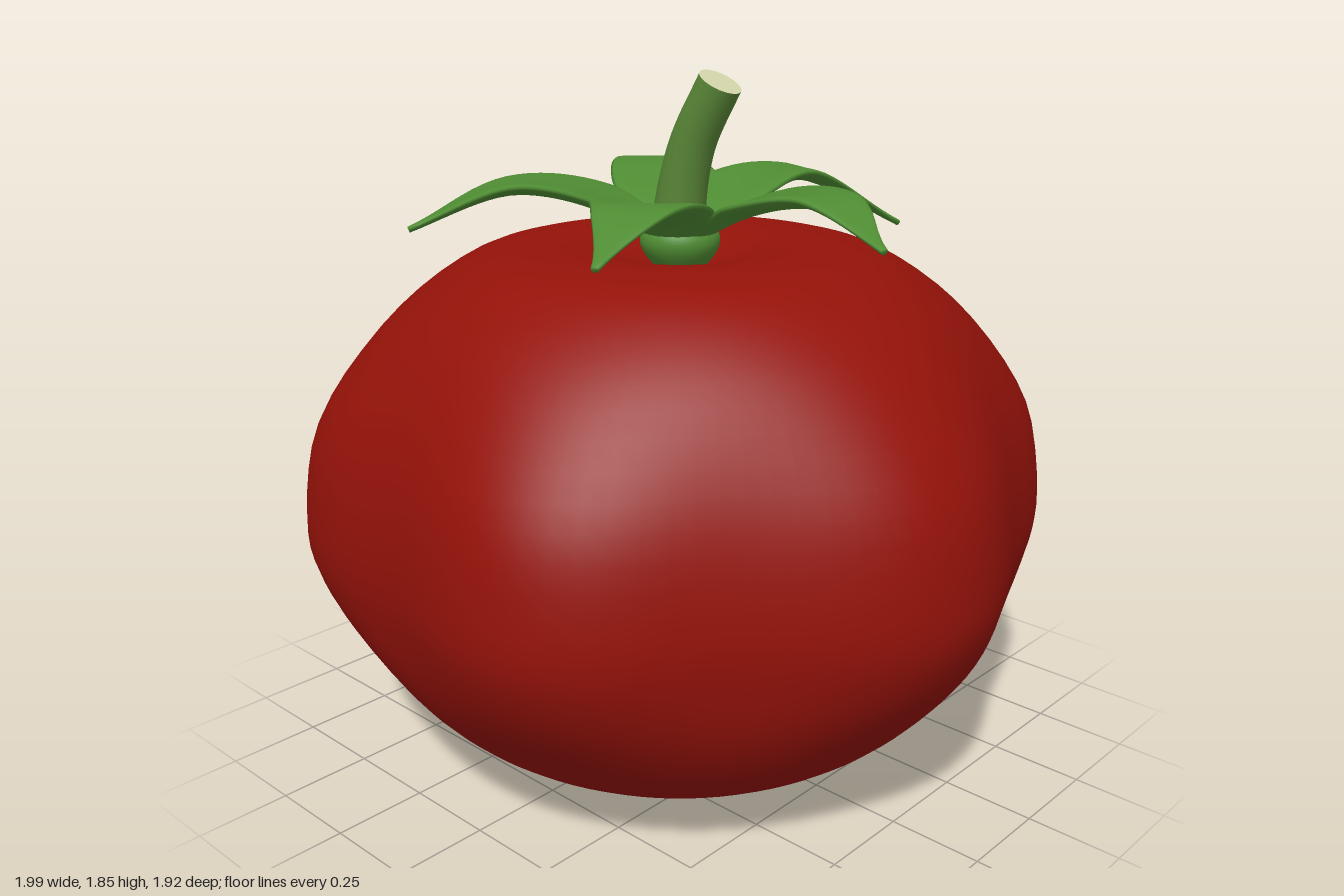
import * as THREE from 'three';
import { mergeVertices } from 'three/addons/utils/BufferGeometryUtils.js';

const v3 = (a) => new THREE.Vector3(...a);
const v2 = (a) => new THREE.Vector2(...a);

function mesh(name, geometry, color) {
  const m = new THREE.Mesh(geometry, new THREE.MeshStandardMaterial({ color }));
  m.name = name;
  return m;
}

// Squat lathe body with six soft lobes that fade out towards the top and bottom
function fruitGeometry() {
  const profile = new THREE.SplineCurve([
    [0, 0.015], [0.16, 0], [0.32, 0.012], [0.5, 0.07], [0.7, 0.2], [0.86, 0.39], [0.94, 0.56], [0.96, 0.73],
    [0.91, 0.98], [0.755, 1.22], [0.56, 1.37], [0.39, 1.41], [0.24, 1.4], [0.12, 1.365], [0, 1.34],
  ].map(v2));
  const points = profile.getPoints(60);
  points.forEach((p) => { p.x = Math.max(p.x, 0); p.y = Math.max(p.y, 0); });
  let g = new THREE.LatheGeometry(points, 96);
  g.deleteAttribute('uv');
  g.deleteAttribute('normal');
  g = mergeVertices(g, 1e-4);
  const pos = g.attributes.position;
  for (let i = 0; i < pos.count; i++) {
    const x = pos.getX(i), y = pos.getY(i), z = pos.getZ(i);
    const fade = THREE.MathUtils.smoothstep(y, 0.25, 0.65) * (1 - THREE.MathUtils.smoothstep(y, 0.9, 1.4));
    const lobe = 1 + 0.043 * fade * Math.cos(6 * (Math.atan2(z, x) - 0.14));
    pos.setXYZ(i, x * lobe, y, z * lobe);
  }
  g.computeVertexNormals();
  return g;
}

// Sepal: a thin, slightly channelled blade swept along an arching midline
function sepalGeometry(midline) {
  const path = new THREE.CatmullRomCurve3(midline.map(v3));
  // x is the half width, y the half thickness
  const size = new THREE.SplineCurve([[0.07, 0.02], [0.15, 0.02], [0.1, 0.018], [0.01, 0.008]].map(v2));
  const rows = 28, sides = 20, positions = [], index = [];
  for (let i = 0; i <= rows; i++) {
    const t = i / rows;
    const c = path.getPoint(t), d = path.getTangent(t), s = size.getPoint(t);
    const across = new THREE.Vector3(-d.z, 0, d.x).normalize();
    const up = new THREE.Vector3().crossVectors(across, d).normalize();
    if (up.y < 0) up.negate();
    for (let j = 0; j < sides; j++) {
      const a = (j / sides) * Math.PI * 2, u = Math.cos(a);
      const lift = s.y * Math.sin(a) + 0.13 * s.x * (u * u - 0.4);
      const p = c.clone().addScaledVector(across, s.x * u).addScaledVector(up, lift);
      positions.push(p.x, p.y, p.z);
      if (i < rows) {
        const k = i * sides + j, n = i * sides + (j + 1) % sides;
        index.push(k, k + sides, n, n, k + sides, n + sides);
      }
    }
  }
  // Close the tip and the root
  const last = rows * sides;
  for (let j = 1; j < sides - 1; j++) {
    index.push(last, last + j + 1, last + j, 0, j, j + 1);
  }
  const g = new THREE.BufferGeometry();
  g.setAttribute('position', new THREE.Float32BufferAttribute(positions, 3));
  g.setIndex(index);
  g.computeVertexNormals();
  return g;
}

export function createModel() {
  const model = new THREE.Group();
  model.name = 'tomato';
  model.add(mesh('fruit', fruitGeometry(), 0x941209));

  // Five sepals: root, shoulder, arch, tip
  const calyx = new THREE.Group();
  calyx.name = 'calyx';
  [
    [[0.03, 1.43, -0.01], [0.19, 1.52, -0.06], [0.4, 1.555, -0.085], [0.65, 1.475, 0.01]],
    [[0, 1.43, -0.03], [0, 1.52, -0.2], [0.05, 1.555, -0.42], [0.19, 1.39, -0.715]],
    [[-0.02, 1.43, -0.02], [-0.16, 1.52, -0.125], [-0.38, 1.555, -0.295], [-0.575, 1.37, -0.545]],
    [[-0.02, 1.43, 0.02], [-0.16, 1.52, 0.12], [-0.33, 1.555, 0.285], [-0.485, 1.45, 0.505]],
    [[0.01, 1.43, 0.03], [0.08, 1.52, 0.18], [0.2, 1.555, 0.38], [0.285, 1.47, 0.58]],
  ].forEach((midline) => {
    const sepal = mesh('sepal', sepalGeometry(midline), 0x4f8c33);
    sepal.material.side = THREE.DoubleSide;
    calyx.add(sepal);
  });

  // Small collar joining the sepals to the fruit
  const collar = new THREE.SplineCurve([[0.06, 1.34], [0.095, 1.385], [0.105, 1.42], [0.09, 1.45], [0.04, 1.47]].map(v2));
  calyx.add(mesh('collar', new THREE.LatheGeometry(collar.getPoints(16), 32), 0x4f8c33));
  model.add(calyx);

  // Curved stem, narrowing towards its cut end
  const stem = new THREE.Group();
  stem.name = 'stem';
  const path = new THREE.CatmullRomCurve3(
    [[-0.005, 1.4, 0], [0.003, 1.52, 0], [0.04, 1.67, -0.005], [0.122, 1.825, -0.015]].map(v3));
  const rows = 24, sides = 24;
  const tube = new THREE.TubeGeometry(path, rows, 1, sides);
  const pos = tube.attributes.position, p = new THREE.Vector3();
  for (let i = 0; i < pos.count; i++) {
    const t = Math.floor(i / (sides + 1)) / rows, c = path.getPointAt(t);
    const radius = 0.057 + 0.018 * (1 - t) ** 2;
    p.fromBufferAttribute(pos, i).sub(c).multiplyScalar(radius).add(c);
    pos.setXYZ(i, p.x, p.y, p.z);
  }
  stem.add(mesh('stalk', tube, 0x5a8738));

  // Pale cut face
  const cut = mesh('cutEnd', new THREE.CircleGeometry(0.057, sides), 0xd2d5aa);
  const end = path.getPointAt(1);
  cut.position.copy(end);
  cut.lookAt(end.clone().add(path.getTangentAt(1)));
  stem.add(cut);
  model.add(stem);
  return model;
}
